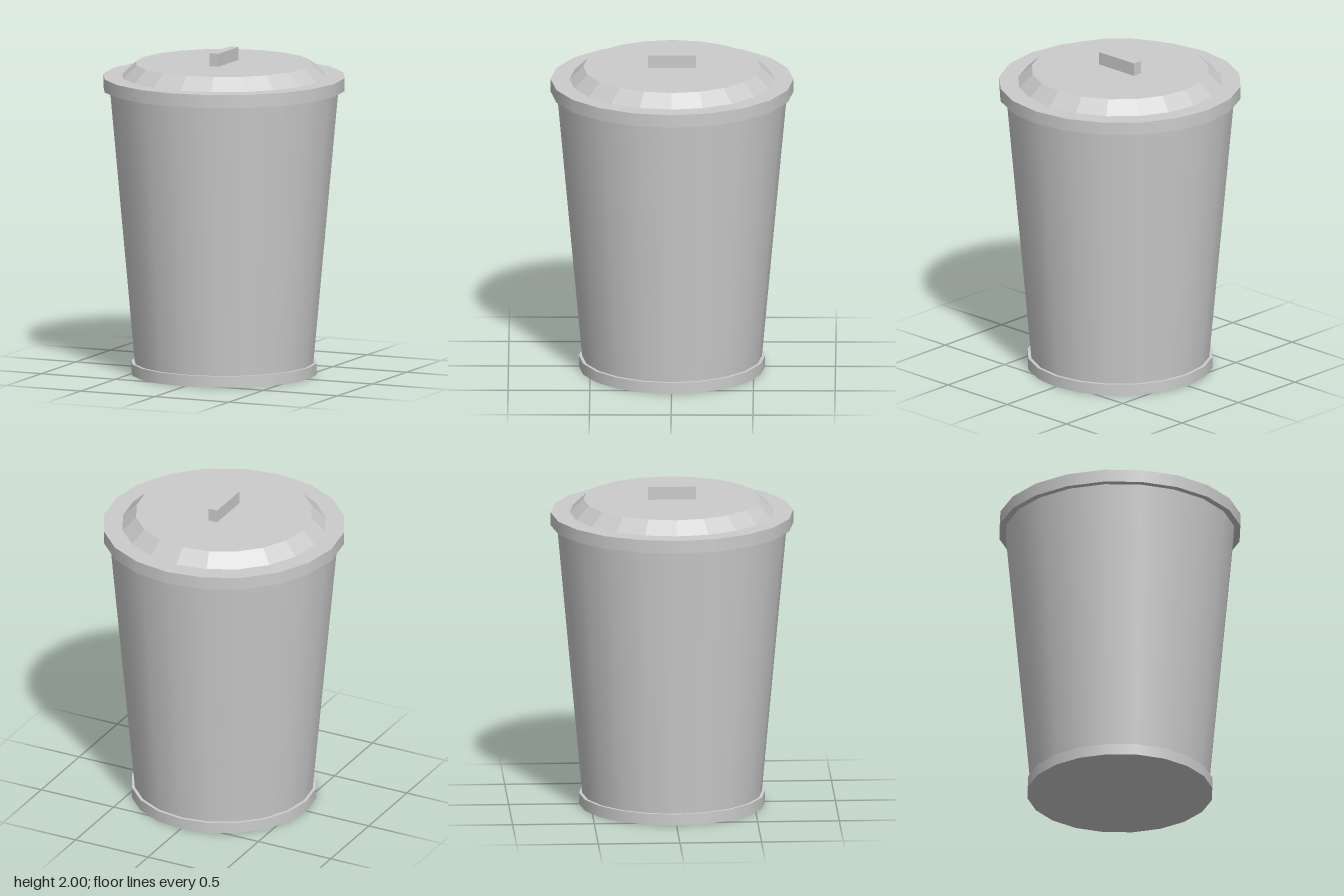
import * as THREE from 'three';

const SIDES = 20;

export function createModel() {
  const group = new THREE.Group();
  const smooth = new THREE.MeshStandardMaterial({ color: 0xcccccc });
  const faceted = new THREE.MeshStandardMaterial({ color: 0xcccccc, flatShading: true });

  // Adds a capped 20-sided ring or cone section between two heights
  function addSection(name, bottomRadius, topRadius, bottom, top, material = smooth) {
    const geometry = new THREE.CylinderGeometry(topRadius, bottomRadius, top - bottom, SIDES);
    const mesh = new THREE.Mesh(geometry, material);
    mesh.name = name;
    mesh.position.y = (bottom + top) / 2;
    group.add(mesh);
  }

  // Bin: foot ring and tapered body
  addSection('footRing', 0.57, 0.57, 0, 0.07);
  addSection('body', 0.545, 0.705, 0.01, 1.77);

  // Lid: overhanging rim and bevelled, faceted crown
  addSection('lidRim', 0.743, 0.743, 1.76, 1.84);
  addSection('lidCrown', 0.627, 0.543, 1.84, 1.92, faceted);

  // Bar handle running front to back
  const handle = new THREE.Mesh(new THREE.BoxGeometry(0.06, 0.08, 0.294), faceted);
  handle.name = 'lidHandle';
  handle.position.y = 1.96;
  group.add(handle);

  return group;
}
